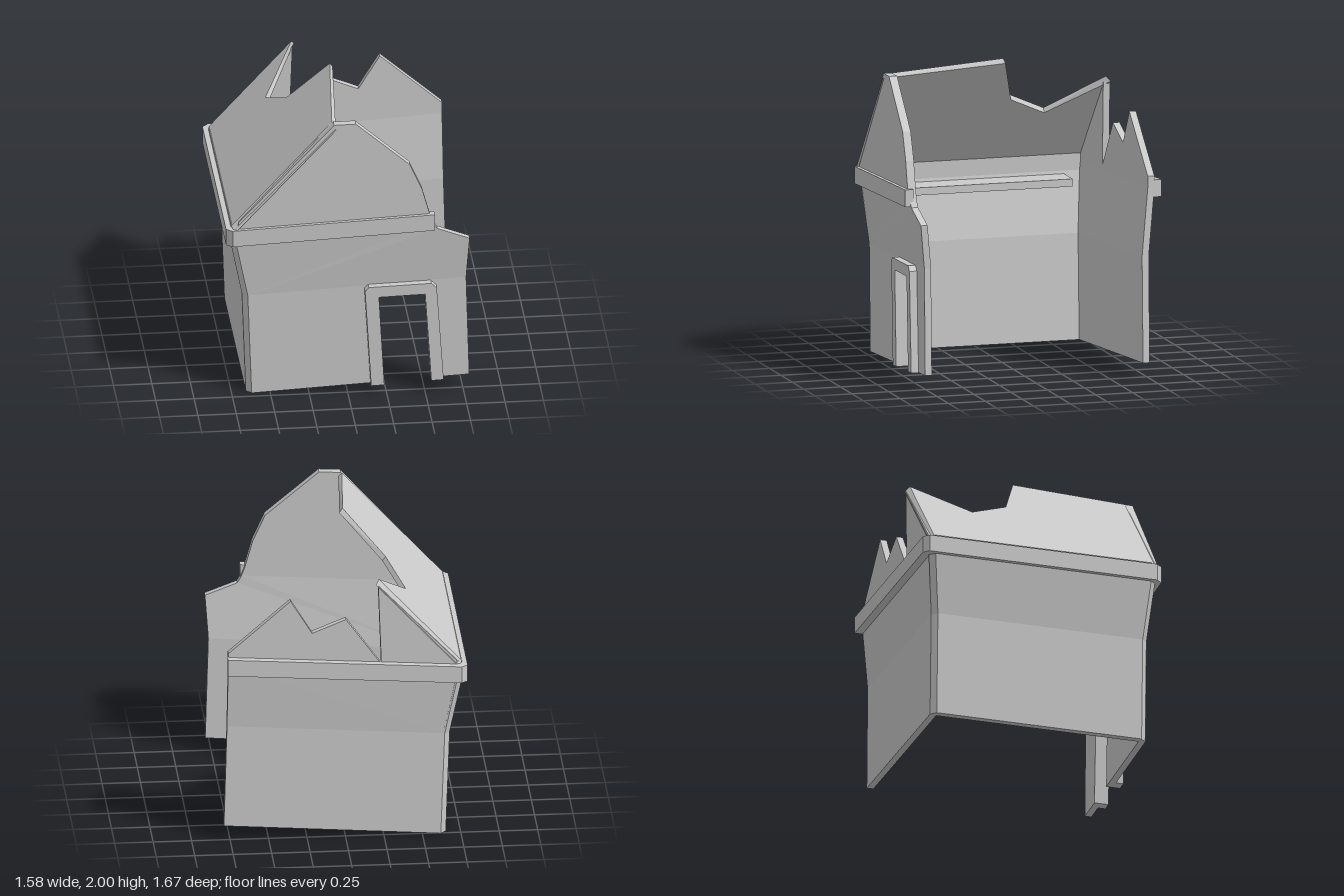
import * as THREE from 'three';

const material = new THREE.MeshStandardMaterial({ color: 0xcccccc, flatShading: true });

// Closed solid through matching cross-sections of [x, y, z]; flat(p) gives the 2D outline for the caps.
function solid(name, sections, flat) {
  if (THREE.ShapeUtils.isClockWise(sections[0].map(flat))) sections = sections.map(s => [...s].reverse());
  const tris = [], n = sections[0].length, last = sections[sections.length - 1];
  for (const [a, b, c] of THREE.ShapeUtils.triangulateShape(sections[0].map(flat), [])) {
    tris.push([sections[0][a], sections[0][c], sections[0][b]], [last[a], last[b], last[c]]);
  }
  for (let k = 0; k + 1 < sections.length; k++) {
    const s = sections[k], t = sections[k + 1];
    for (let i = 0; i < n; i++) {
      const j = (i + 1) % n;
      tris.push([s[i], s[j], t[j]], [s[i], t[j], t[i]]);
    }
  }
  // Turn the faces outward if the enclosed volume comes out negative
  const V = p => new THREE.Vector3(...p);
  const volume = tris.reduce((sum, [a, b, c]) => sum + V(a).dot(V(b).cross(V(c))), 0);
  const points = tris.flatMap(([a, b, c]) => (volume < 0 ? [a, c, b] : [a, b, c])).flat();
  const geometry = new THREE.BufferGeometry();
  geometry.setAttribute('position', new THREE.Float32BufferAttribute(points, 3));
  geometry.computeVertexNormals();
  const mesh = new THREE.Mesh(geometry, material);
  mesh.name = name;
  return mesh;
}

const onWall = p => new THREE.Vector2(p[0], p[1]);
const onPlan = p => new THREE.Vector2(p[0], p[2]);

// The house leans: courses rise toward +x, and the walls flare outward above a crease
const flare = (x, y) => 0.73 + 0.04 * THREE.MathUtils.clamp((y - 0.07 * x - 0.747) / 0.4, 0, 1);
const frontZ = (x, y) => flare(x, y) + 0.045 * x;
const backZ = (x, y) => -flare(x, y) - 0.027;

// Upright slab between two depths measured from a wall's outer face
function slab(name, outline, face, d0, d1) {
  return solid(name, [d0, d1].map(d => outline.map(([x, y]) => [x, y, face(x, y) + d])), onWall);
}

export function createModel() {
  const group = new THREE.Group();
  const T = 0.045;

  // Front wall with doorway, flared upper course and broken gable
  group.add(
    slab('frontWallLower', [[-0.62, 0], [0.235, 0.06], [0.2, 0.69], [0.5, 0.705], [0.54, 0.083],
      [0.79, 0.1], [0.77, 0.8], [-0.645, 0.702]], frontZ, 0, -T),
    slab('frontWallUpper', [[-0.645, 0.702], [0.77, 0.8], [0.79, 1.09], [0.58, 1.17], [0.55, 1.22],
      [-0.725, 1.16]], frontZ, 0, -T),
    slab('frontGable', [[-0.725, 1.14], [0.56, 1.2], [0.53, 1.28], [0.48, 1.46], [0.4, 1.64],
      [0.05, 1.94], [-0.09, 1.935], [-0.71, 1.25]], frontZ, 0.01, -T),
  );

  // Door surround
  group.add(slab('doorFrame', [[0.15, 0.055], [0.11, 0.735], [0.135, 0.762], [0.54, 0.782], [0.575, 0.75],
    [0.62, 0.088], [0.54, 0.083], [0.5, 0.705], [0.2, 0.69], [0.235, 0.06]], x => 0.73 + 0.045 * x, 0.05, -0.03));

  // Back wall and its jagged gable
  group.add(
    slab('backWallLower', [[-0.62, 0], [0.79, 0.1], [0.77, 0.8], [-0.645, 0.702]], backZ, 0, T),
    slab('backWallUpper', [[-0.645, 0.702], [0.77, 0.8], [0.765, 1.25], [-0.725, 1.16]], backZ, 0, T),
    slab('backGable', [[-0.725, 1.14], [0.765, 1.22], [0.765, 1.325], [0.36, 1.68], [0.22, 1.45],
      [0, 1.54], [-0.23, 1.22], [-0.21, 1.77], [-0.72, 1.23]], backZ, 0, T),
  );

  // Side wall with chamfered outer corners: [y, outer x, front z, back z]
  const levels = [[0, -0.655, 0.7, -0.757], [0.7, -0.68, 0.7, -0.757], [1.1, -0.76, 0.735, -0.797], [1.22, -0.755, 0.735, -0.797]];
  const c = 0.035;
  group.add(solid('sideWall', levels.map(([y, x, f, b]) =>
    [[x + c, f], [x, f - c], [x, b + c], [x + c, b], [x + T, b], [x + T, f]].map(([px, pz]) => [px, y, pz])), onPlan));

  // Band running round the three walls
  const plan = [[0.56, 0.83], [-0.75, 0.77], [-0.79, 0.73], [-0.79, -0.81], [-0.75, -0.845], [0.77, -0.845],
    [0.77, -0.78], [-0.73, -0.78], [-0.73, 0.71], [0.56, 0.775]];
  group.add(solid('eavesBand', [1.137, 1.25].map(h => plan.map(([x, z]) => [x, h + 0.065 * x, z])), onPlan));

  // Broken roof slope, bevelled toward the gables: [x, upper z, lower z]
  const roof = [[-0.755, 0.72, 0.765], [-0.1, 0.72, 0.785], [-0.04, -0.02, -0.03], [-0.31, -0.15, -0.15],
    [-0.42, -0.41, -0.41], [-0.215, -0.77, -0.8], [-0.755, -0.77, -0.8]];
  const roofY = x => 1.22 + 1.095 * (x + 0.75);
  group.add(solid('roof', [
    roof.map(([x, z]) => [x, roofY(x), z]),
    roof.map(([x, , z]) => [x + 0.02, roofY(x) - 0.03, z]),
  ], onPlan));

  // Shelf inside the side wall
  const shelf = new THREE.Mesh(new THREE.BoxGeometry(0.2, 0.05, 1.24), material);
  shelf.name = 'shelf';
  shelf.position.set(-0.62, 1.055, -0.02);
  group.add(shelf);

  return group;
}
